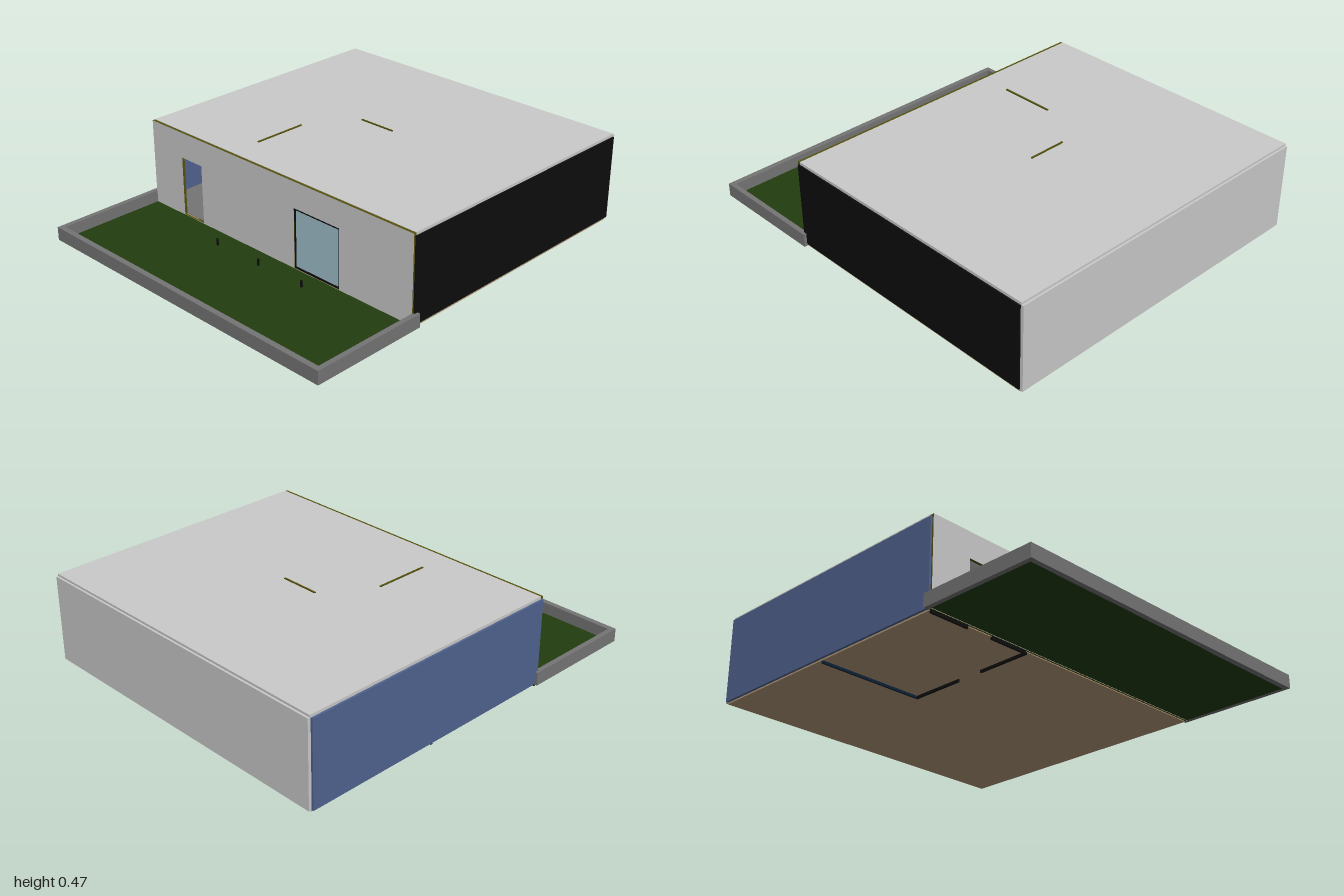
import * as THREE from 'three';

const mat = (name, color) => {
  const m = new THREE.MeshStandardMaterial({ color });
  m.name = name;
  return m;
};

export function createModel() {
  const group = new THREE.Group();
  const plaster = mat('plaster', 0xcacaca);
  const black = mat('black', 0x0d0d0d);
  const blue = mat('blue', 0x50638f);
  const navy = mat('navy', 0x0c2238);
  const olive = mat('olive', 0x55520f);
  const tan = mat('tan', 0xb39a78);
  const glass = mat('glass', 0xa0c0cc);
  const grass = mat('grass', 0x233c0f);
  const kerb = mat('kerb', 0x757575);

  const add = (name, geometry, material) => {
    const mesh = new THREE.Mesh(geometry, material);
    mesh.name = name;
    group.add(mesh);
    return mesh;
  };
  // Box given by its min and max on each axis
  const box = (name, material, x0, x1, y0, y1, z0, z1) => {
    const g = new THREE.BoxGeometry(x1 - x0, y1 - y0, z1 - z0);
    g.translate((x0 + x1) / 2, (y0 + y1) / 2, (z0 + z1) / 2);
    return add(name, g, material);
  };
  const rect = (target, x0, x1, y0, y1) => {
    target.moveTo(x0, y0);
    target.lineTo(x1, y0);
    target.lineTo(x1, y1);
    target.lineTo(x0, y1);
    target.closePath();
    return target;
  };

  // Floor, roof and outer walls
  box('floorSlab', tan, -0.84, 0.84, 0.012, 0.028, -0.985, 0.415);
  box('floorCovering', kerb, -0.835, 0.835, 0.028, 0.031, -0.98, 0.41);
  box('roof', plaster, -0.842, 0.842, 0.448, 0.463, -0.99, 0.411);
  box('backWall', plaster, -0.842, 0.842, 0.02, 0.452, -1.0, -0.985);
  box('rightWall', blue, -0.852, -0.838, 0.02, 0.449, -0.985, 0.417);
  box('leftWall', black, 0.838, 0.85, 0.028, 0.449, -0.985, 0.417);

  // Front wall with door and window openings
  const front = rect(new THREE.Shape(), -0.842, 0.842, 0.016, 0.461);
  front.holes.push(rect(new THREE.Path(), -0.63, -0.49, 0.028, 0.33));
  front.holes.push(rect(new THREE.Path(), 0.137, 0.417, 0.028, 0.33));
  const frontGeometry = new THREE.ExtrudeGeometry(front, { depth: 0.014, bevelEnabled: false });
  frontGeometry.translate(0, 0, 0.411);
  add('frontWall', frontGeometry, [plaster, olive]);

  // Window pane and frame
  box('windowPane', glass, 0.143, 0.411, 0.036, 0.322, 0.413, 0.418);
  for (const [y0, y1] of [[0.028, 0.036], [0.322, 0.33]]) {
    box('windowRail', black, 0.137, 0.417, y0, y1, 0.412, 0.423);
  }
  for (const x of [0.137, 0.411]) box('windowStile', black, x, x + 0.006, 0.036, 0.322, 0.412, 0.423);

  // Inner partitions, with doorways and lintels
  box('roomBackWall', navy, -0.838, -0.28, 0, 0.447, -0.285, -0.275);
  box('hallWall', plaster, -0.28, -0.09, 0.031, 0.447, -0.285, -0.275);
  box('hallWallLintel', olive, -0.12, 0.08, 0.33, 0.468, -0.285, -0.277);
  for (const [z0, z1] of [[-0.285, 0], [0.14, 0.418]]) {
    box('roomSideWall', plaster, -0.285, -0.275, 0.012, 0.447, z0, z1);
    box('roomSideWallFoot', black, -0.285, -0.275, 0, 0.012, z0, z1);
  }
  box('roomSideWallLintel', olive, -0.284, -0.276, 0.33, 0.468, -0.03, 0.25);
  for (const [x0, x1] of [[-0.84, -0.63], [-0.49, -0.28]]) {
    box('frontWallFoot', black, x0, x1, 0, 0.016, 0.411, 0.42);
  }

  // Lawn and its low surround
  box('lawn', grass, -0.842, 0.842, 0.018, 0.026, 0.41, 0.975);
  box('surroundFront', kerb, -0.865, 0.865, 0.018, 0.085, 0.972, 1.0);
  for (const s of [-1, 1]) {
    const a = s * 0.84, b = s * 0.865;
    box('surroundSide', kerb, Math.min(a, b), Math.max(a, b), 0.018, 0.085, 0.4, 0.972);
  }
  for (const x of [-0.28, 0, 0.28]) box('gardenPost', black, x - 0.004, x + 0.004, 0.026, 0.06, 0.517, 0.525);

  return group;
}
